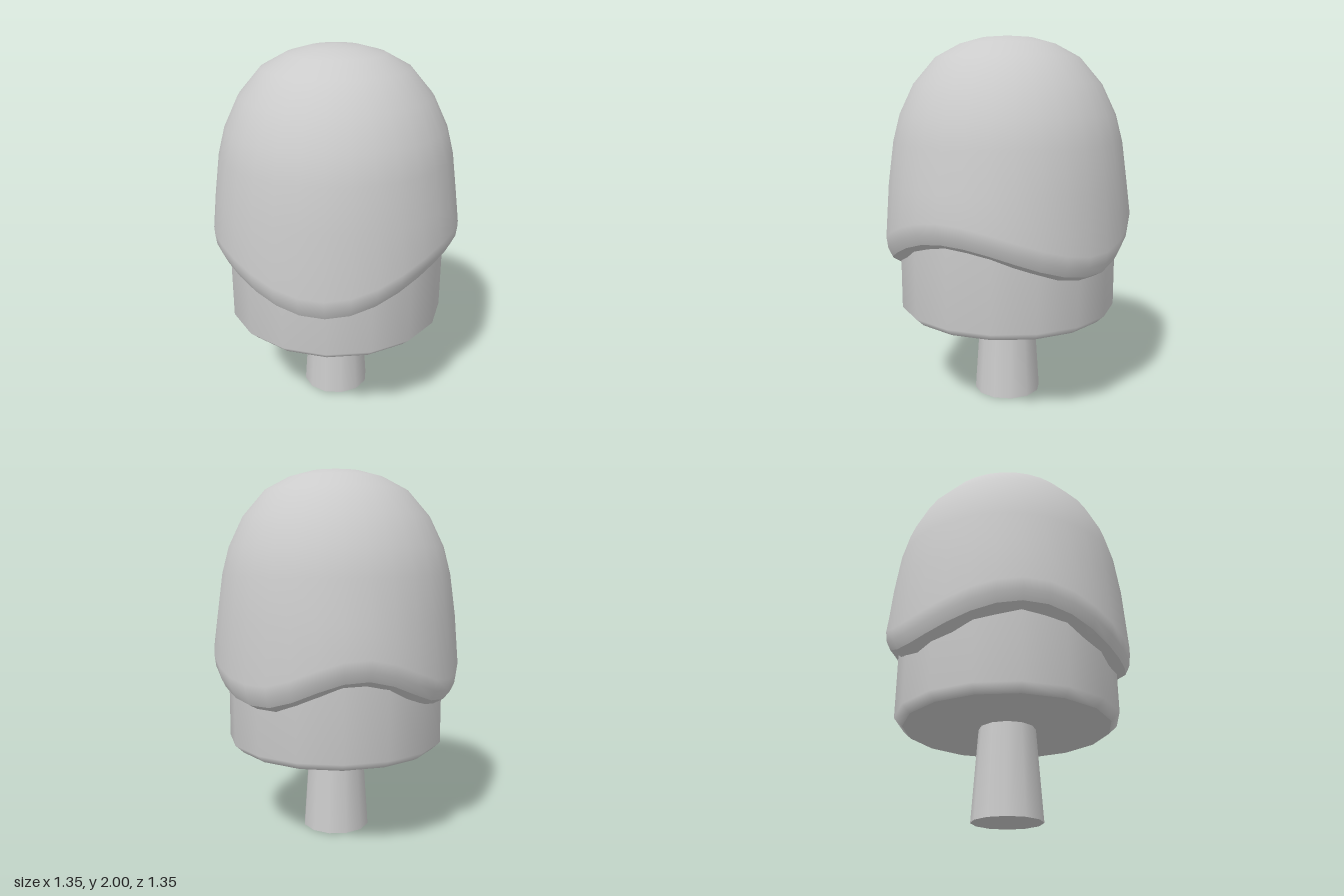
import * as THREE from 'three';

const material = new THREE.MeshStandardMaterial({ color: 0xcccccc });
const SEGMENTS = 32;

// Highs and lows of the wavy coating edge: [degrees from +x towards +z, height]
const WAVES = [[-95, 0.8], [-24, 0.975], [47, 0.765], [110, 0.925], [170, 0.8], [217, 0.95], [265, 0.8]];

function rimHeight(degrees) {
  const d = degrees > 265 ? degrees - 360 : degrees;
  const i = WAVES.findIndex((w, k) => k > 0 && d <= w[0]);
  const [d0, y0] = WAVES[i - 1];
  const [d1, y1] = WAVES[i];
  const t = (1 - Math.cos(Math.PI * (d - d0) / (d1 - d0))) / 2;
  return y0 + (y1 - y0) * t;
}

// Smooth skin through closed rings; each ring is [radius, height(rim)]
function ringSurface(rings) {
  const positions = [];
  const index = [];
  rings.forEach(([r, height], i) => {
    for (let j = 0; j < SEGMENTS; j++) {
      const a = (j / SEGMENTS) * Math.PI * 2;
      positions.push(r * Math.cos(a), height(rimHeight((j / SEGMENTS) * 360)), r * Math.sin(a));
      if (i === rings.length - 1) continue;
      const p = i * SEGMENTS + j;
      const q = i * SEGMENTS + (j + 1) % SEGMENTS;
      index.push(p, q, p + SEGMENTS, q, q + SEGMENTS, p + SEGMENTS);
    }
  });
  const geometry = new THREE.BufferGeometry();
  geometry.setAttribute('position', new THREE.Float32BufferAttribute(positions, 3));
  geometry.setIndex(index);
  geometry.computeVertexNormals();
  return geometry;
}

function addMesh(parent, name, geometry) {
  const mesh = new THREE.Mesh(geometry, material);
  mesh.name = name;
  parent.add(mesh);
  return mesh;
}

export function createModel() {
  const model = new THREE.Group();
  model.name = 'dippedIcePop';

  // Domed coating, its lower rings following the wavy edge
  const dome = [[0, 2], [0.14, 1.988], [0.26, 1.955], [0.39, 1.885], [0.51, 1.745],
    [0.587, 1.585], [0.625, 1.44], [0.655, 1.22]];
  const rings = dome.map(([r, y]) => [r, () => y]);
  rings.push([0.677, (rim) => rim + 0.11], [0.669, (rim) => rim + 0.05], [0.645, (rim) => rim]);
  const coatingGeometry = ringSurface(rings);
  for (let j = 0; j < SEGMENTS; j++) coatingGeometry.attributes.normal.setXYZ(j, 0, 1, 0);
  addMesh(model, 'coating', coatingGeometry);

  // Sloping underside of the coating edge
  addMesh(model, 'coatingEdge', ringSurface([
    [0.645, (rim) => rim],
    [0.58, (rim) => rim - 0.036],
  ]));

  // Core below the coating, with a bevelled bottom
  const core = new THREE.Group();
  core.name = 'core';
  model.add(core);
  const profile = [[0.555, 0.487], [0.6, 0.53], [0.6, 1.0]].map(([r, y]) => new THREE.Vector2(r, y));
  addMesh(core, 'coreSide', new THREE.LatheGeometry(profile, 16));
  const bottom = addMesh(core, 'coreBottom', new THREE.CircleGeometry(0.555, 16));
  bottom.rotation.x = Math.PI / 2;
  bottom.position.y = 0.487;

  // Tapered stick
  const stick = addMesh(model, 'stick', new THREE.CylinderGeometry(0.152, 0.187, 0.5, 12));
  stick.position.y = 0.25;

  return model;
}
